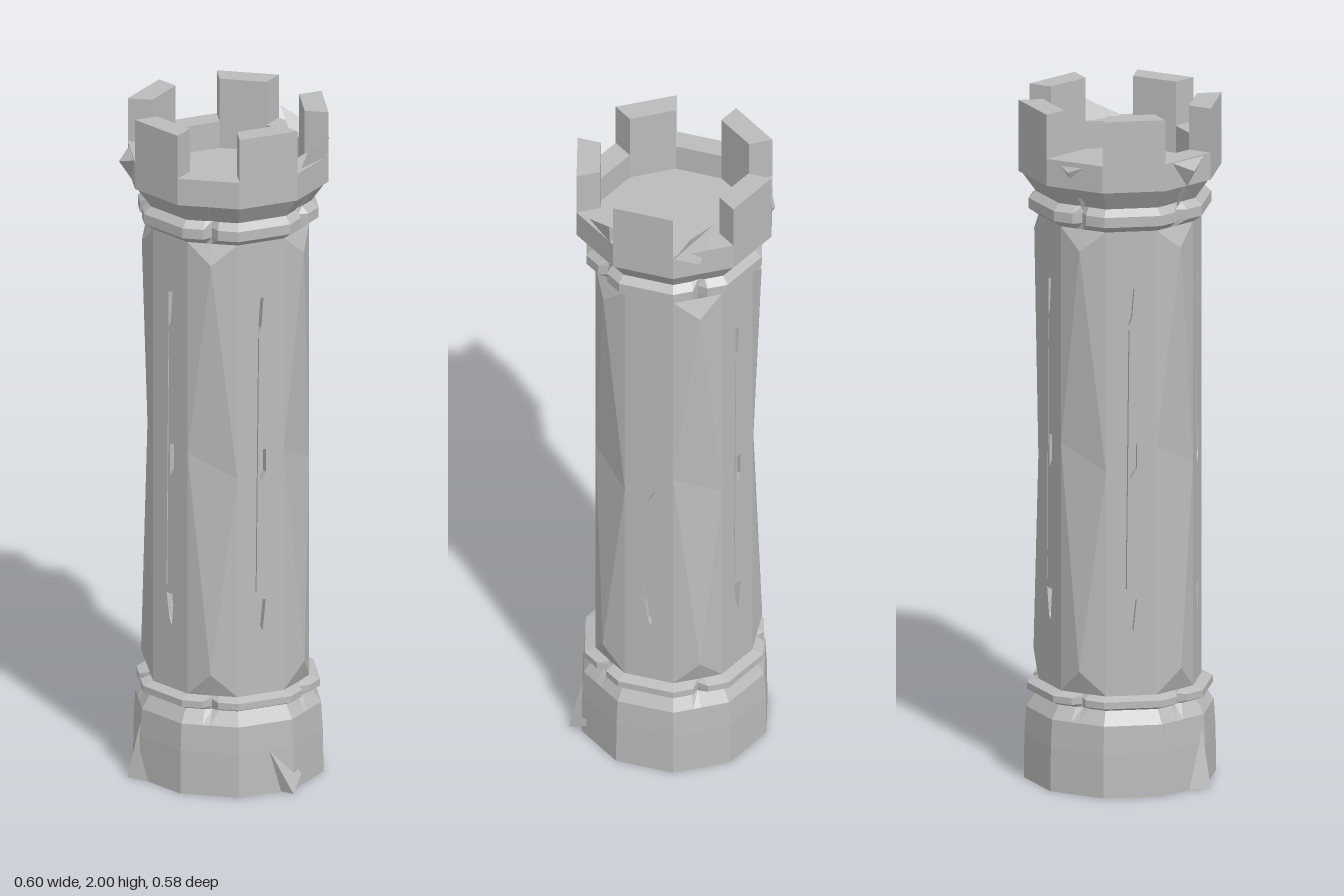
import * as THREE from 'three';
import { ConvexGeometry } from 'three/addons/geometries/ConvexGeometry.js';

const DEG = Math.PI / 180;
const C18 = Math.cos(18 * DEG);
const stone = new THREE.MeshStandardMaterial({ color: 0xbbbbbb, flatShading: true, side: THREE.DoubleSide });
stone.name = 'stone grey';

// Point from angle (degrees, x towards z), radius and height
const polar = (deg, r, y) => new THREE.Vector3(r * Math.cos(deg * DEG), y, r * Math.sin(deg * DEG));

function add(parent, name, geometry) {
  const mesh = new THREE.Mesh(geometry, stone);
  mesh.name = name;
  parent.add(mesh);
  return mesh;
}

function fromTriangles(tris) {
  const g = new THREE.BufferGeometry().setFromPoints(tris.flat());
  g.computeVertexNormals();
  return g;
}

// Ten-sided band; levels are [y, corner radius, notch radius or 0]
function band(levels) {
  const rows = levels.map(([y, r, notch]) => {
    const row = [];
    for (let s = 0; s < 5; s++) {
      for (const o of [-18, -5, 0, 5, 18]) {
        const flat = (r * C18) / Math.cos(o * DEG);
        row.push(polar(36 + 72 * s + o, o === 0 && notch ? notch : flat, y));
      }
    }
    return row;
  });
  const tris = [];
  for (let i = 0; i < rows.length - 1; i++) {
    for (let j = 0; j < 25; j++) {
      const k = (j + 1) % 25;
      const [a, b, c, d] = [rows[i][j], rows[i][k], rows[i + 1][k], rows[i + 1][j]];
      tris.push([a, d, b], [b, d, c]);
    }
  }
  return fromTriangles(tris);
}

// Extrudes a plan outline upwards from y0 to y1
function slab(outline, hole, y0, y1) {
  const flat = pts => pts.map(p => new THREE.Vector2(p.x, -p.z));
  const shape = new THREE.Shape(flat(outline));
  if (hole) shape.holes.push(new THREE.Path(flat(hole)));
  const g = new THREE.ExtrudeGeometry(shape, { depth: y1 - y0, bevelEnabled: false });
  return g.rotateX(-Math.PI / 2).translate(0, y0, 0);
}

const decagon = r => Array.from({ length: 10 }, (_, i) => polar(18 + 36 * i, r, 0));
const SHAFT = 0.235, BOTTOM = 0.29, TOP = 1.66;

// Flat shaft face with three arrow-slit openings
function slitPanel() {
  const w = SHAFT * Math.sin(18 * DEG);
  const poly = pts => pts.map(([x, y]) => new THREE.Vector2(x, y));
  const shape = new THREE.Shape(poly([[-w, BOTTOM], [w, BOTTOM], [w, TOP], [-w, TOP]]));
  for (const hole of [
    [[-0.008, 1.49], [0.009, 1.49], [0.002, 1.4], [-0.008, 1.38]],
    [[-0.002, 1.03], [0.016, 1.03], [0.016, 0.96], [-0.002, 0.93]],
    [[-0.016, 0.575], [0.016, 0.575], [0.006, 0.48], [-0.004, 0.5]],
    [[-0.008, 1.37], [-0.005, 1.37], [-0.013, 0.6], [-0.016, 0.6]],
  ]) shape.holes.push(new THREE.Path(poly(hole)));
  return new THREE.ExtrudeGeometry(shape, { depth: 0.02, bevelEnabled: false })
    .translate(0, 0, SHAFT * C18 - 0.02);
}

// Faceted shaft face with a ridge that bends to one corner at mid-height
function ridgePanel(a) {
  const t1 = polar(a, 0.225, TOP), t2 = polar(a, 0.225, BOTTOM);
  const s1 = polar(a, 0.248, 1.6), s2 = polar(a, 0.25, 0.36);
  const [pt, pm, pb] = [TOP, 1.02, BOTTOM].map(y => polar(a + 18, SHAFT, y));
  const [nt, nm, nb] = [TOP, 0.95, BOTTOM].map(y => polar(a - 18, SHAFT, y));
  return fromTriangles([
    [pt, t1, s1], [pt, s1, pm], [pm, s2, pb], [pb, s2, t2],
    [t1, nt, s1], [s1, nt, nm], [s1, nm, pm], [pm, nm, s2], [s2, nm, nb], [s2, nb, t2],
  ]);
}

export function createModel() {
  const group = new THREE.Group();
  group.name = 'tower';
  const tower = new THREE.Group();
  tower.name = 'towerBody';
  tower.position.set(0.0125, 0, -0.002);
  group.add(tower);

  // Base with notched moulding
  add(tower, 'base', band([
    [0, 0.277, 0], [0.13, 0.275, 0], [0.21, 0.27, 0], [0.25, 0.244, 0.225],
    [0.26, 0.267, 0.228], [0.28, 0.267, 0.228], [BOTTOM, SHAFT, 0.225],
  ]));
  add(tower, 'underside', new THREE.ShapeGeometry(
    new THREE.Shape(decagon(0.277).map(p => new THREE.Vector2(p.x, p.z)))).rotateX(Math.PI / 2));

  // Shaft
  add(tower, 'shaftCore', slab(decagon(0.212), null, 0.2, 1.7));
  for (let i = 0; i < 5; i++) {
    const face = 72 * i;
    add(tower, 'slitFace', slitPanel()).rotation.y = (90 - face) * DEG;
    add(tower, 'ridgedFace', ridgePanel(face + 36));
  }

  // Upper moulding, flare and parapet
  add(tower, 'crown', band([
    [TOP, SHAFT, 0.225], [1.68, 0.263, 0.228], [1.71, 0.263, 0.228], [1.73, 0.242, 0.225],
    [1.8, 0.292, 0], [1.87, 0.292, 0],
  ]));
  add(tower, 'roofFloor', slab(decagon(0.225), null, 1.77, 1.79));
  add(tower, 'parapet', slab(decagon(0.292), decagon(0.222), 1.79, 1.87));
  for (let i = 0; i < 5; i++) {
    const a = 72 * i;
    add(tower, 'merlon', slab([
      polar(a - 18, 0.292, 0), polar(a + 18, 0.292, 0),
      polar(a + 18, 0.222, 0), polar(a - 18, 0.222, 0),
    ], null, 1.87, 2));
  }

  // Broken stone shards on the parapet and base
  const shards = [
    [[-0.3, 1.84, -0.01], [-0.26, 1.87, -0.07], [-0.26, 1.87, 0.07], [-0.22, 1.72, 0]],
    [[0.29, 1.93, 0.1], [0.2, 1.87, 0.19], [0.22, 1.86, 0.07], [0.28, 1.85, 0.1]],
    [[0.18, 1.93, -0.18], [0.3, 1.87, -0.1], [0.21, 1.85, -0.09], [0.25, 1.83, -0.16]],
    [[-0.06, 1.84, -0.28], [0, 1.87, -0.28], [-0.13, 1.87, -0.24], [-0.06, 1.72, -0.22]],
    [[0.17, 0, 0.262], [0.07, 0.19, 0.235], [0.2, 0.04, 0.2], [0.12, 0, 0.22]],
    [[-0.285, 0, 0.07], [-0.24, 0.2, 0.07], [-0.24, 0, 0], [-0.22, 0, 0.12]],
  ];
  for (const pts of shards) {
    add(group, 'shard', new ConvexGeometry(pts.map(p => new THREE.Vector3(...p))));
  }
  return group;
}
